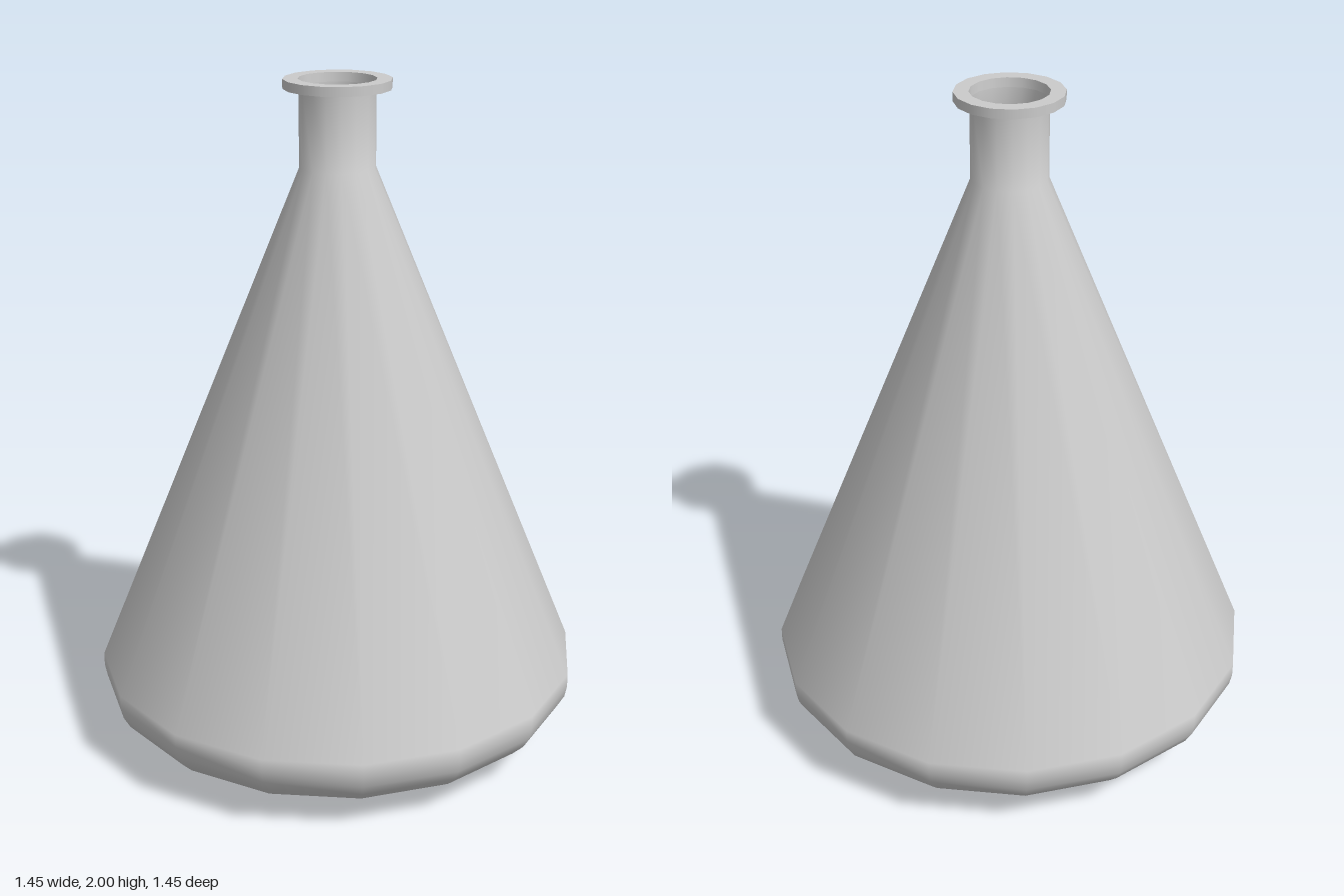
import * as THREE from 'three';

const SIDES = 16;

// Each section is a smooth profile [radius, y]; edges between sections stay sharp.
const sections = {
  footBottom: [[0, 0], [0.445, 0]],
  footWall: [[0.445, 0], [0.445, 0.05]],
  underside: [[0.445, 0.05], [0.665, 0.095]],
  body: [
    [0.665, 0.095], [0.7, 0.13], [0.72, 0.165], [0.727, 0.2], [0.727, 0.24], // rounded shoulder
    [0.11, 1.75], // cone
    [0.11, 1.973], // neck
  ],
  lipUnderside: [[0.11, 1.973], [0.155, 1.973]],
  lipEdge: [[0.155, 1.973], [0.155, 2]],
  lipTop: [[0.155, 2], [0.112, 2]],
  lipInner: [[0.112, 2], [0.11, 1.973]],
};

export function createModel() {
  const flask = new THREE.Group();
  flask.name = 'flask';
  // Open thin-walled vessel, so the inside shows through the mouth
  const material = new THREE.MeshStandardMaterial({ color: 0xcccccc, side: THREE.DoubleSide });

  for (const [name, profile] of Object.entries(sections)) {
    const points = profile.map(([r, y]) => new THREE.Vector2(r, y));
    const mesh = new THREE.Mesh(new THREE.LatheGeometry(points, SIDES), material);
    mesh.name = name;
    flask.add(mesh);
  }
  return flask;
}
